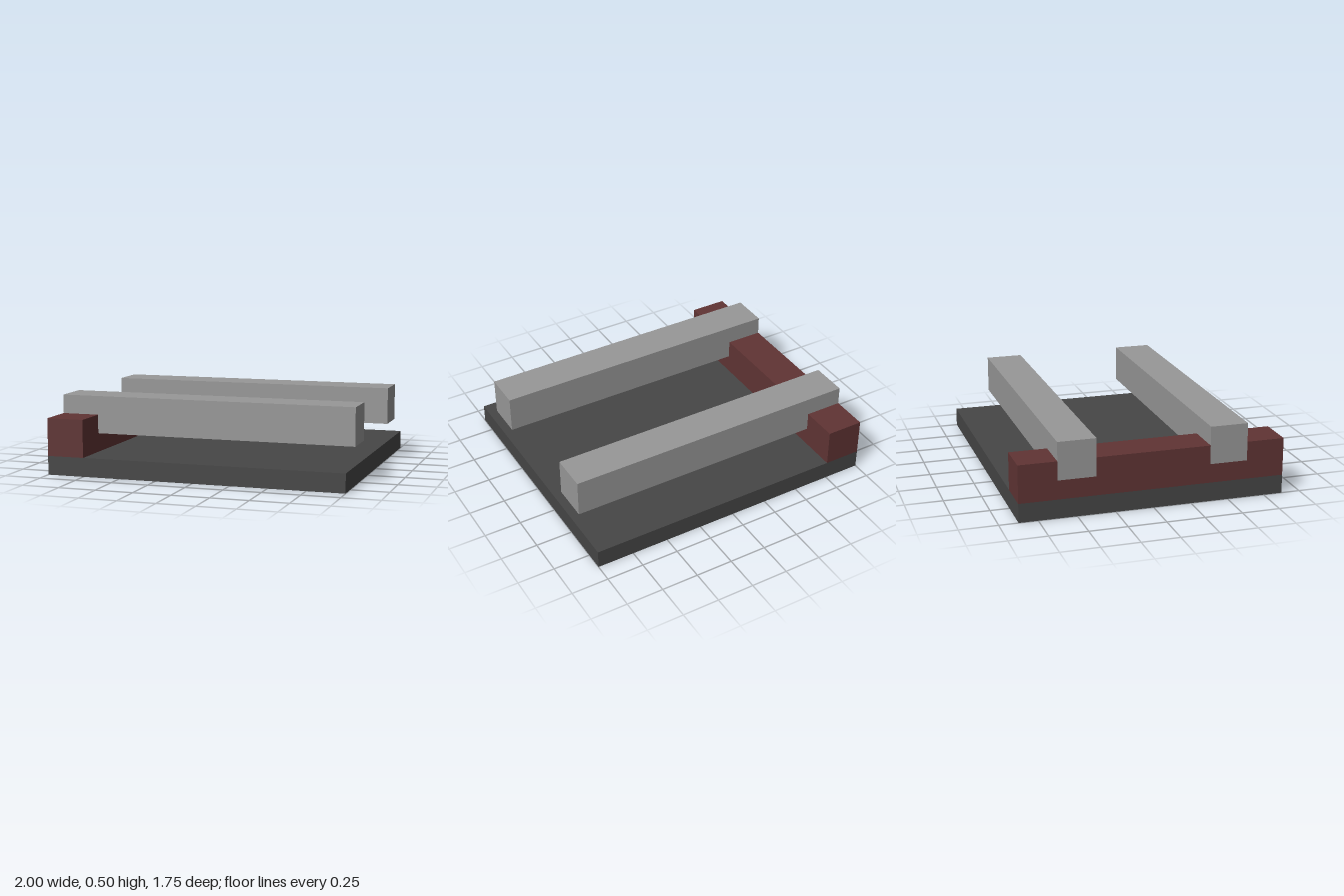
import * as THREE from 'three';

const material = (name, color) => {
  const m = new THREE.MeshStandardMaterial({ color });
  m.name = name;
  return m;
};

export function createModel() {
  const group = new THREE.Group();
  const darkGrey = material('dark grey', 0x464646);
  const lightGrey = material('light grey', 0x989898);
  const brownRed = material('brown red', 0x603434);

  const add = (name, geometry, mat, x, y, z) => {
    const mesh = new THREE.Mesh(geometry, mat);
    mesh.name = name;
    mesh.position.set(x, y, z);
    group.add(mesh);
  };

  // Flat base slab
  add('base', new THREE.BoxGeometry(2, 0.125, 1.75), darkGrey, 0, 0.0625, 0);

  // Two long rails, mirrored front to back
  for (const [name, side] of [['frontRail', 1], ['backRail', -1]]) {
    add(name, new THREE.BoxGeometry(2, 0.25, 0.25), lightGrey, 0, 0.375, side * 0.5);
  }

  // Cross beam, notched so the rails sit in it flush with its outer face
  const profile = new THREE.Shape([
    [-0.875, 0], [0.875, 0], [0.875, 0.25],
    [0.625, 0.25], [0.625, 0.125], [0.375, 0.125], [0.375, 0.25],
    [-0.375, 0.25], [-0.375, 0.125], [-0.625, 0.125], [-0.625, 0.25],
    [-0.875, 0.25],
  ].map(([z, y]) => new THREE.Vector2(z, y)));
  const beam = new THREE.ExtrudeGeometry(profile, { depth: 0.25, bevelEnabled: false });
  beam.rotateY(-Math.PI / 2);
  add('crossBeam', beam, brownRed, -0.75, 0.125, 0);

  return group;
}
